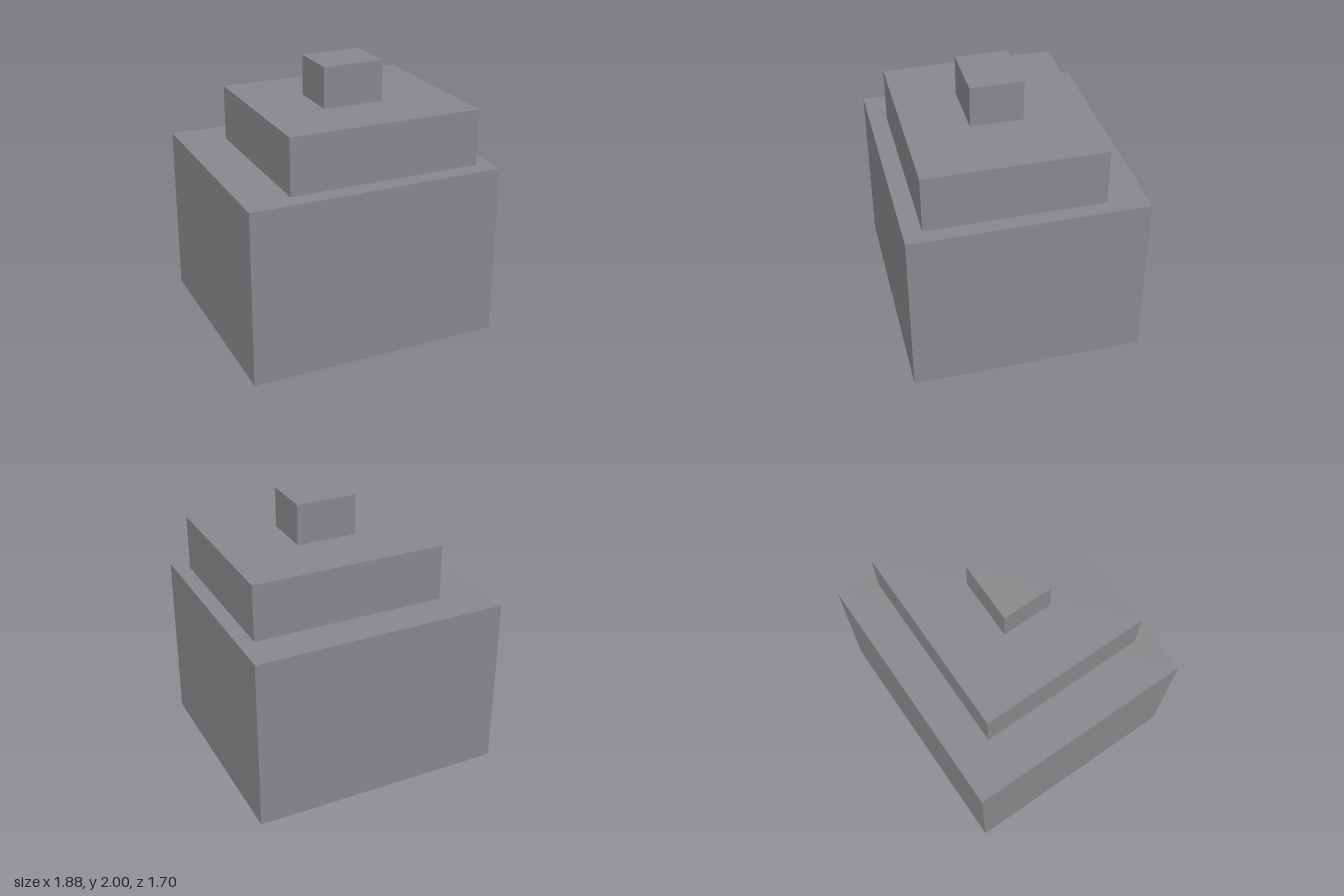
import * as THREE from 'three';

export function createModel() {
  const model = new THREE.Group();
  model.name = 'steppedTower';
  const material = new THREE.MeshStandardMaterial({ color: 0x88878b, flatShading: true });

  // Box given by its extents along x, y and z
  function addBlock(name, [x0, x1], [y0, y1], [z0, z1]) {
    const block = new THREE.Mesh(new THREE.BoxGeometry(x1 - x0, y1 - y0, z1 - z0), material);
    block.position.set((x0 + x1) / 2, (y0 + y1) / 2, (z0 + z1) / 2);
    block.name = name;
    model.add(block);
  }

  // Three stacked tiers, the upper two set off-centre
  addBlock('baseBlock', [-0.942, 0.942], [0, 1.285], [-0.85, 0.85]);
  addBlock('middleBlock', [-0.603, 0.83], [1.285, 1.70], [-0.565, 0.717]);
  addBlock('topBlock', [-0.152, 0.3], [1.70, 2], [-0.115, 0.265]);

  return model;
}
